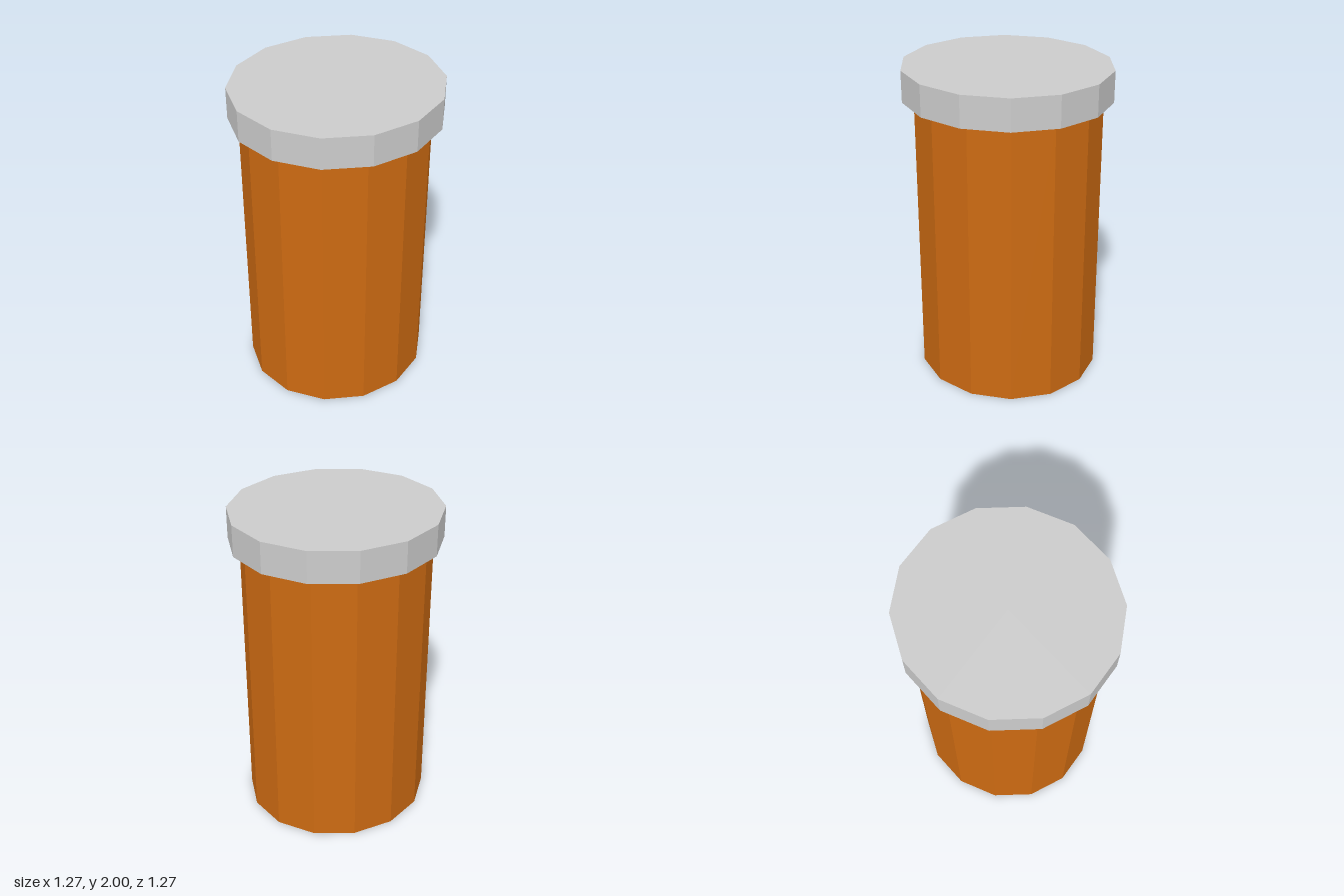
import * as THREE from 'three';

const SIDES = 14;

// Faceted, slightly oval drum standing between two heights
function drum(name, rx, rz, y0, y1, color) {
  const geometry = new THREE.CylinderGeometry(1, 1, y1 - y0, SIDES);
  geometry.scale(rx, 1, rz);
  const material = new THREE.MeshStandardMaterial({ color, flatShading: true });
  const mesh = new THREE.Mesh(geometry, material);
  mesh.name = name;
  mesh.position.y = (y0 + y1) / 2;
  return mesh;
}

export function createModel() {
  const group = new THREE.Group();
  group.name = 'pillBottle';

  // Amber container, set a touch towards the back under its lid
  const body = drum('bottleBody', 0.589, 0.567, 0, 1.805, 0xcc6a12);
  body.position.z = -0.006;

  // Wider lid
  const lid = drum('lid', 0.653, 0.633, 1.805, 2, 0xcccccc);

  group.add(body, lid);
  return group;
}
